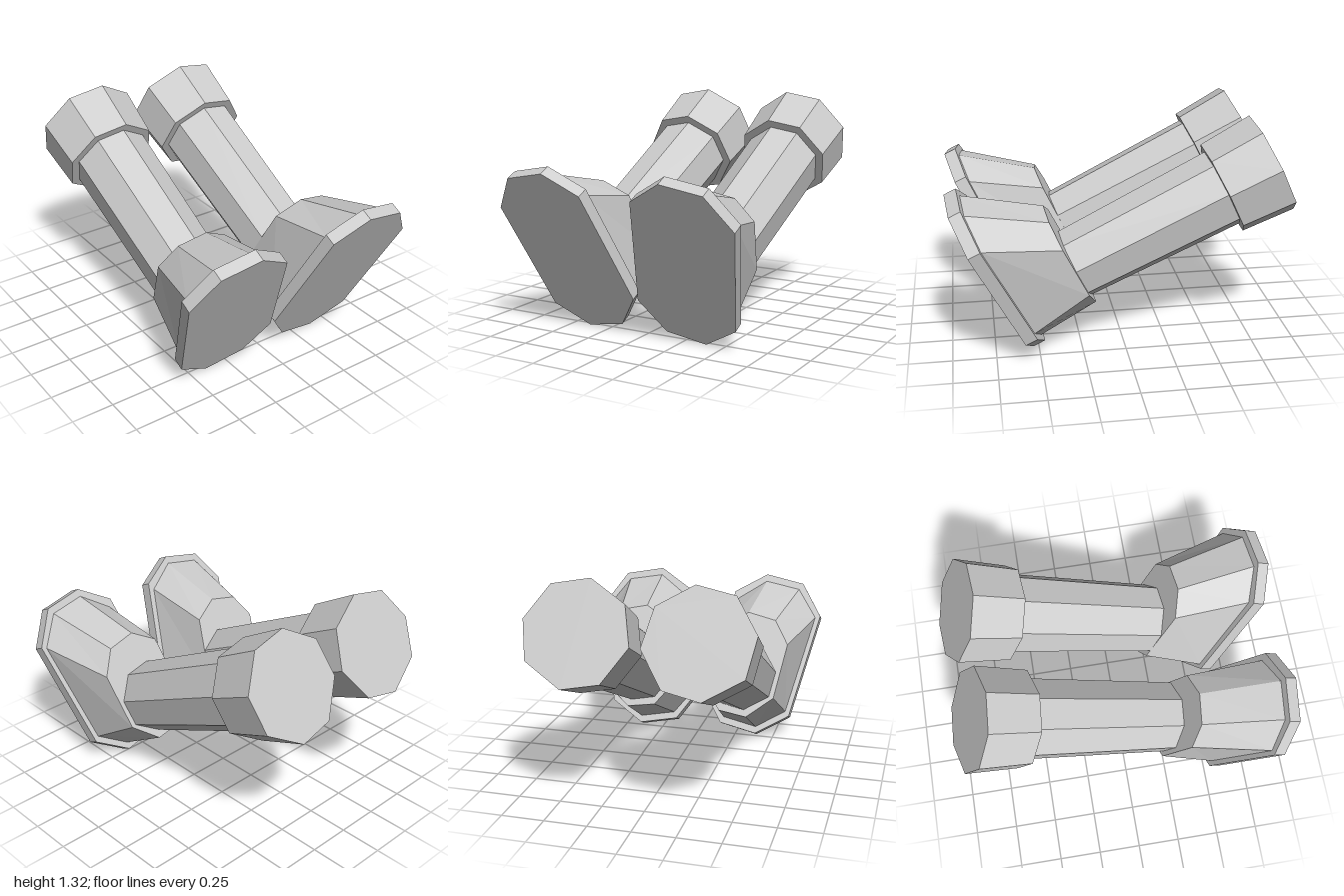
import * as THREE from 'three';

const boots = new THREE.MeshStandardMaterial({ color: 0xcccccc });
boots.name = 'plainGrey';

// Eight-sided cross-sections as [across, towards the toe], starting at the toe
const SOLE = [[.365, 1.304], [.61, 1.254], [.742, 1.045], [.6, .369], [.39, .236], [.15, .286], [.015, .492], [.16, 1.176]];
const FOOT_LOW = [[.365, 1.257], [.585, 1.215], [.71, 1.033], [.575, .398], [.39, .28], [.17, .325], [.048, .49], [.187, 1.13]];
const FOOT_TOP = [[.335, .97], [.51, .93], [.6, .782], [.545, .44], [.385, .308], [.21, .335], [.11, .468], [.185, .879]];
const CUFF = [[.285, .865], [.505, .821], [.636, .622], [.595, .395], [.38, .26], [.165, .304], [.03, .51], [.08, .737]];

// Scale a section about the middle of the leg
const scaled = (ring, s) => ring.map(([x, z]) => [.33 + (x - .33) * s, .565 + (z - .565) * s]);

// Closed, faceted solid between two sections at heights h0 and h1
function loft(low, high, h0, h1, side) {
  const place = (ring, h) => {
    const pts = ring.map(([x, z]) => [x * side, h, z]);
    return side < 0 ? pts.reverse() : pts;
  };
  const a = place(low, h0), b = place(high, h1), n = a.length, pos = [];
  const tri = (...p) => p.forEach(v => pos.push(...v));
  for (let i = 0; i < n; i++) {
    const j = (i + 1) % n;
    tri(a[i], a[j], b[j]);
    tri(a[i], b[j], b[i]);
    if (i > 0 && i < n - 1) {
      tri(b[0], b[i], b[j]);
      tri(a[0], a[j], a[i]);
    }
  }
  const geo = new THREE.BufferGeometry();
  geo.setAttribute('position', new THREE.Float32BufferAttribute(pos, 3));
  geo.computeVertexNormals();
  return geo;
}

function makeBoot(side) {
  const boot = new THREE.Group();
  boot.name = side > 0 ? 'leftBoot' : 'rightBoot';
  const add = (name, ...args) => {
    const mesh = new THREE.Mesh(loft(...args, side), boots);
    mesh.name = name;
    boot.add(mesh);
  };
  add('sole', SOLE, SOLE, -.473, -.399);
  add('foot', FOOT_LOW, FOOT_TOP, -.399, -.028);
  add('shaft', scaled(CUFF, .7), scaled(CUFF, .77), -.028, .919);
  add('cuff', scaled(CUFF, .93), CUFF, .919, 1.238);
  // Lean the boot back so its toe points up and the sole faces forward
  boot.rotation.x = -THREE.MathUtils.degToRad(64);
  return boot;
}

export function createModel() {
  const model = new THREE.Group();
  model.name = 'pairOfBoots';
  for (const side of [1, -1]) model.add(makeBoot(side));
  return model;
}
